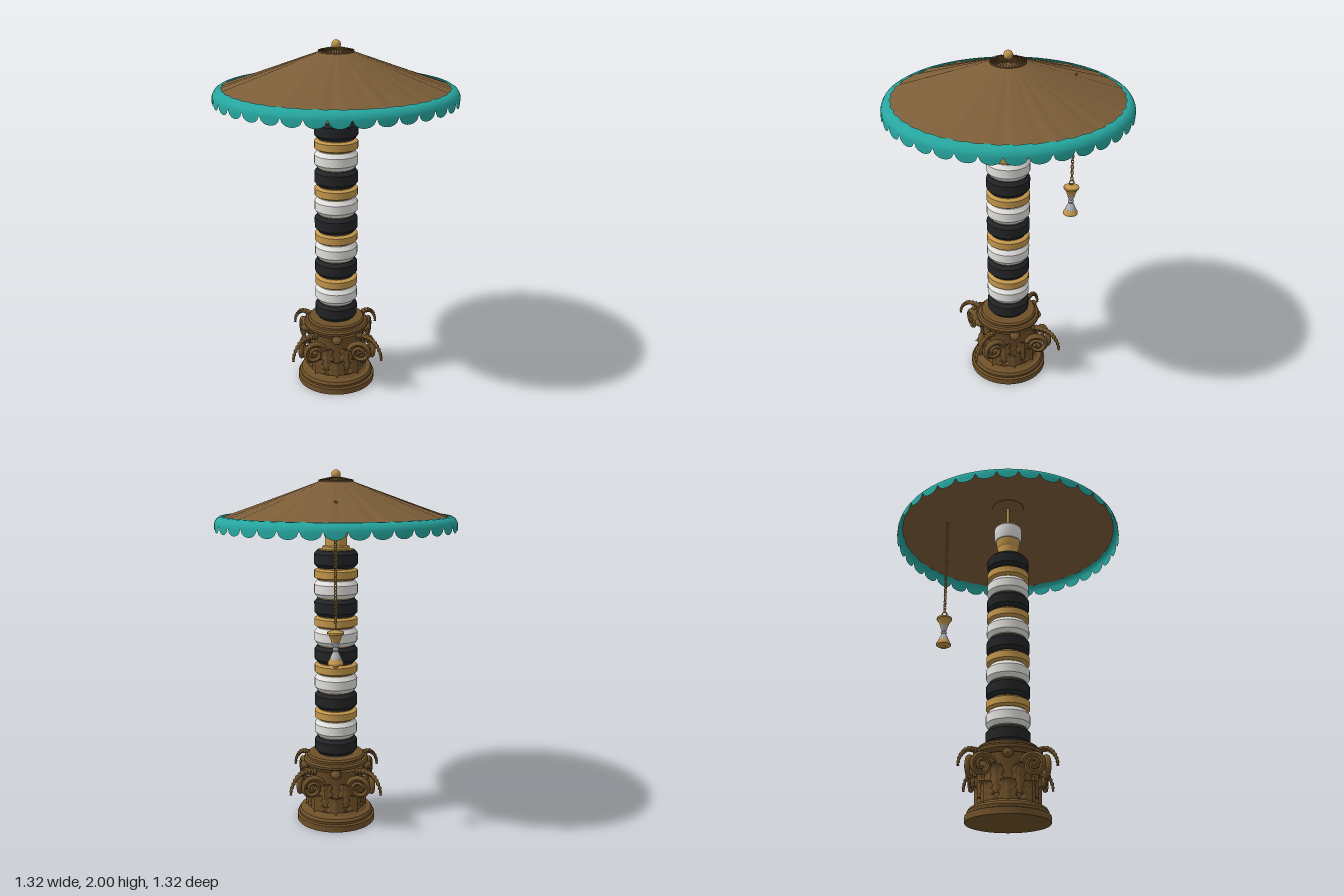
import * as THREE from 'three';
import { toCreasedNormals } from 'three/addons/utils/BufferGeometryUtils.js';

const mat = (name, color, side = THREE.FrontSide) => {
  const m = new THREE.MeshStandardMaterial({ color, side });
  m.name = name;
  return m;
};

export function createModel() {
  const root = new THREE.Group();
  root.name = 'tableLamp';
  const fabric = mat('brown fabric', 0x7c5d38, THREE.DoubleSide);
  const bronze = mat('carved bronze', 0x6e5029, THREE.DoubleSide);
  const teal = mat('teal trim', 0x26a69f, THREE.DoubleSide);
  const gold = mat('gold', 0xc3974c);
  const black = mat('black', 0x232426);
  const white = mat('white', 0xe4e3e0);
  const silver = mat('silver', 0xb4b4b6);

  const add = (name, geo, material, parent = root, x = 0, y = 0, z = 0) => {
    const mesh = new THREE.Mesh(geo, material);
    mesh.name = name;
    mesh.position.set(x, y, z);
    parent.add(mesh);
    return mesh;
  };
  // profile given as [radius, y] from bottom to top
  const lathe = (pts, seg = 40, crease = 0.5) =>
    toCreasedNormals(new THREE.LatheGeometry(pts.map(p => new THREE.Vector2(...p)), seg), crease);

  // ---- carved capital at the foot ----
  const capital = new THREE.Group();
  capital.name = 'capital';
  root.add(capital);
  add('plinth', lathe([[0, 0], [0.225, 0], [0.225, 0.035], [0.212, 0.04], [0.215, 0.055], [0.205, 0.07],
    [0.18, 0.075], [0.165, 0.09]], 48), bronze, capital);
  const bell = y => 0.148 + 0.6 * Math.max(0, y - 0.2) ** 1.7;
  const bellPts = [];
  for (let i = 0; i <= 10; i++) {
    const y = 0.075 + i * 0.026;
    bellPts.push([bell(y), y]);
  }
  add('bell', lathe(bellPts, 40, 1), bronze, capital);
  add('collar', lathe([[0.12, 0.33], [0.165, 0.345], [0.185, 0.355], [0.187, 0.37], [0.178, 0.38],
    [0.165, 0.383], [0.165, 0.395], [0.155, 0.404], [0, 0.405]], 48), bronze, capital);

  // curled leaf with a raised rib and lobed edges, wrapped round the bell
  const leaf = (angle, y0, height, halfWidth, lift) => {
    const g = new THREE.PlaneGeometry(2, 1, 8, 18);
    const p = g.attributes.position;
    for (let i = 0; i < p.count; i++) {
      const u = p.getX(i), v = p.getY(i) + 0.5;
      const lobes = 0.72 + 0.28 * Math.abs(Math.sin(v * Math.PI * 4));
      const w = halfWidth * lobes * Math.sqrt(Math.max(0, 1 - v ** 4)) * u;
      const curl = Math.max(0, v - 0.6) / 0.4;
      const y = y0 + height * (v - 0.22 * curl * curl);
      const r = bell(y) + lift + 0.014 * (1 - Math.abs(u)) + 0.035 * curl * curl
        + 0.006 * Math.cos(u * 9);
      const a = angle + w / 0.165;
      p.setXYZ(i, Math.sin(a) * r, y, Math.cos(a) * r);
    }
    g.computeVertexNormals();
    add('leaf', g, bronze, capital);
  };
  for (let i = 0; i < 8; i++) {
    leaf((i / 8) * Math.PI * 2, 0.08, 0.14, 0.06, 0.008);
    leaf(((i + 0.5) / 8) * Math.PI * 2, 0.12, 0.19, 0.05, 0.004);
  }

  // tube whose radius follows a rule along its length
  const taperTube = (points, seg, rule) => {
    const curve = new THREE.CatmullRomCurve3(points);
    const g = new THREE.TubeGeometry(curve, seg, 1, 8);
    const p = g.attributes.position;
    const v = new THREE.Vector3();
    for (let i = 0; i <= seg; i++) {
      const c = curve.getPointAt(i / seg);
      for (let j = 0; j <= 8; j++) {
        const k = i * 9 + j;
        v.fromBufferAttribute(p, k).sub(c).multiplyScalar(rule(i / seg)).add(c);
        p.setXYZ(k, v.x, v.y, v.z);
      }
    }
    g.computeVertexNormals();
    return g;
  };
  const spiral = [];
  for (let i = 0; i <= 26; i++) {
    const t = i / 26, a = 2.9 - t * 11.5, r = 0.062 - 0.05 * t;
    spiral.push(new THREE.Vector3(-0.06 + r * Math.cos(a), 0.255 + r * Math.sin(a), 0.012 * t));
  }
  const spiralGeo = taperTube(spiral, 80, t => 0.019 - 0.011 * t);
  const crestGeo = taperTube([[0.17, 0.325], [0.23, 0.34], [0.285, 0.335], [0.325, 0.305], [0.348, 0.265],
    [0.352, 0.235]].map(([x, y]) => new THREE.Vector3(x, y, 0)), 60,
    t => (0.021 - 0.013 * t) * (0.85 + 0.2 * Math.sin(t * 70)));
  for (let i = 0; i < 4; i++) {
    const corner = new THREE.Group();
    corner.name = 'cornerScroll';
    corner.rotation.y = Math.PI / 4 + (i * Math.PI) / 2;
    capital.add(corner);
    add('crest', crestGeo, bronze, corner);
    for (const s of [-1, 1]) {
      const scroll = add('scroll', spiralGeo, bronze, corner, 0.28, 0, s * 0.012);
      scroll.rotation.y = s * 0.55;
      scroll.scale.z = s;
    }
    // flower in the middle of each face
    const a = (i * Math.PI) / 2;
    const flower = add('flower', new THREE.SphereGeometry(0.03, 12, 8), bronze, capital,
      Math.sin(a) * 0.175, 0.325, Math.cos(a) * 0.175);
    flower.scale.y = 0.8;
  }

  // ---- stacked rings of the column ----
  const column = new THREE.Group();
  column.name = 'column';
  root.add(column);
  add('core', new THREE.CylinderGeometry(0.098, 0.098, 1.17, 32), gold, column, 0, 0.99, 0);
  const ring = (name, y0, y1, bevel, material) => add(name, lathe([[0, y0], [0.104, y0],
    [0.121, y0 + bevel], [0.121, y1 - bevel], [0.104, y1], [0, y1]], 28), material, column);
  for (let i = 0; i < 5; i++) {
    const y = 0.408 + i * 0.2667;
    ring('blackRing', y, y + 0.096, 0.02, black);
    if (i === 4) break;
    ring('whiteRing', y + 0.101, y + 0.198, 0.024, white);
    ring('goldRing', y + 0.203, y + 0.26, 0.009, gold);
  }

  // ---- socket, bulb and rod ----
  add('socket', lathe([[0, 1.57], [0.075, 1.57], [0.075, 1.59], [0.06, 1.595], [0.06, 1.64], [0.066, 1.65],
    [0.07, 1.69], [0, 1.695]], 32), gold);
  add('bulb', lathe([[0, 1.69], [0.076, 1.69], [0.081, 1.70], [0.081, 1.775], [0.074, 1.785], [0, 1.785]], 32), white);
  add('rod', new THREE.CylinderGeometry(0.009, 0.009, 0.18, 10), gold, root, 0, 1.865, 0);

  // ---- canopy shade: shallow pleated cone ----
  const SEG = 180;
  const cone = new THREE.LatheGeometry([[0.632, 1.742], [0.45, 1.806], [0.27, 1.872], [0.09, 1.938], [0.01, 1.943]]
    .map(p => new THREE.Vector2(...p)), SEG);
  const cp = cone.attributes.position;
  for (let i = 0; i < cp.count; i++) {
    const a = Math.atan2(cp.getX(i), cp.getZ(i)), r = Math.hypot(cp.getX(i), cp.getZ(i));
    cp.setY(i, cp.getY(i) + 0.003 * r * (Math.sin(a * 23) + Math.sin(a * 37 + 1)));
  }
  cone.computeVertexNormals();
  add('shade', cone, fabric);

  // scalloped trim, rounded over the rim
  const COUNT = 36;
  const trim = new THREE.PlaneGeometry(1, 1, COUNT * 10, 6);
  const tp = trim.attributes.position;
  const section = [[0.608, 1.757], [0.628, 1.755], [0.645, 1.744], [0.654, 1.73], [0.658, 1.718]];
  for (let i = 0; i < tp.count; i++) {
    const row = Math.floor(i / (COUNT * 10 + 1)), u = tp.getX(i) + 0.5;
    const a = u * Math.PI * 2;
    const s = Math.sqrt(Math.max(0, 1 - (2 * ((u * COUNT + 0.5) % 1) - 1) ** 2));
    let [r, y] = section[Math.min(row, 4)];
    if (row === 0) r += 0.004 * Math.sin(a * 41);
    if (row > 4) {
      y -= (row - 4) * 0.5 * 0.042 * s;
      r += 0.001 * (row - 4);
    }
    tp.setXYZ(i, Math.sin(a) * r, y, Math.cos(a) * r);
  }
  trim.computeVertexNormals();
  add('scallopedTrim', trim, teal);

  // gathered cap with ribs, and the finial
  add('cap', lathe([[0, 1.93], [0.094, 1.932], [0.096, 1.942], [0.06, 1.951], [0, 1.955]], 40), fabric);
  const ribGeo = new THREE.BoxGeometry(0.07, 0.008, 0.004);
  for (let i = 0; i < 36; i++) {
    const a = (i / 36) * Math.PI * 2;
    const rib = add('capRib', ribGeo, bronze, root, Math.cos(a) * 0.06, 1.95, -Math.sin(a) * 0.06);
    rib.rotation.set(0, a, -0.22, 'YXZ');
  }
  add('finialBase', lathe([[0.026, 1.948], [0.026, 1.955], [0.012, 1.96], [0.01, 1.98]], 16), gold);
  add('finial', new THREE.SphereGeometry(0.025, 20, 14), gold, root, 0, 1.975, 0);

  // ---- pull chain with hourglass pendant ----
  const pull = new THREE.Group();
  pull.name = 'pullChain';
  pull.position.z = -0.365;
  root.add(pull);
  const linkGeo = new THREE.TorusGeometry(0.008, 0.0028, 6, 12);
  for (let i = 0; i < 36; i++) {
    const link = add('link', linkGeo, gold, pull, 0, 1.235 + i * 0.0172, 0);
    link.scale.y = 1.35;
    link.rotation.y = Math.PI / 4 + (i % 2) * Math.PI / 2;
  }
  add('pendantLoop', new THREE.TorusGeometry(0.013, 0.004, 8, 18), gold, pull, 0, 1.208, 0).rotation.y = Math.PI / 2;
  add('pendantTop', lathe([[0, 1.13], [0.022, 1.13], [0.027, 1.145], [0.036, 1.165], [0.044, 1.172], [0.044, 1.182],
    [0.02, 1.188], [0, 1.196]], 16), gold, pull);
  add('pendantGlass', lathe([[0.032, 1.035], [0.026, 1.055], [0.013, 1.08], [0.018, 1.09], [0.012, 1.1],
    [0.024, 1.13]], 12), silver, pull);
  add('pendantBottom', lathe([[0, 0.988], [0.012, 0.992], [0.015, 1.003], [0.042, 1.01], [0.042, 1.02], [0.03, 1.04],
    [0, 1.043]], 16), gold, pull);

  return root;
}
